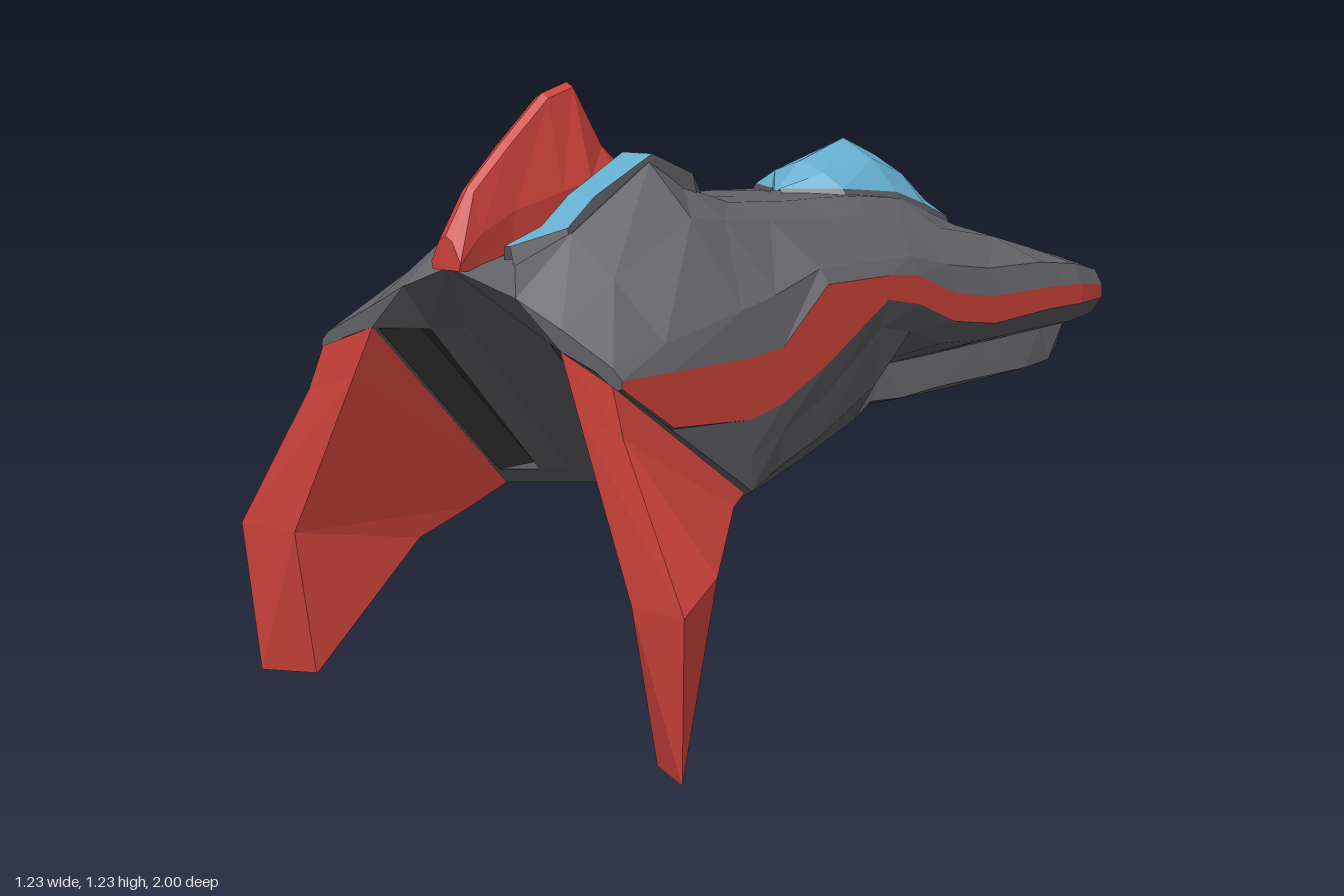
import * as THREE from 'three';

const COLORS = { red: 0xcc423a, grey: 0x626166, dark: 0x57565b, black: 0x2a2a2c, blue: 0x64acce };

// Skins a grid of points (rows of [x, y, z]); pick(i, j) gives each quad's colour name or null.
// One mesh per colour; the skin is mirrored to the -x side.
function skin(name, rows, pick) {
  const group = new THREE.Group();
  group.name = name;
  const buckets = {};
  for (let i = 0; i < rows.length - 1; i++) {
    for (let j = 0; j < rows[i].length - 1; j++) {
      const key = pick(i, j);
      if (!key) continue;
      const a = rows[i][j], b = rows[i][j + 1], c = rows[i + 1][j + 1], d = rows[i + 1][j];
      const out = (buckets[key] ??= []);
      for (const tri of [[a, d, c], [a, c, b]]) {
        out.push(...tri.flat());
        out.push(...[tri[0], tri[2], tri[1]].flatMap(([x, y, z]) => [-x, y, z]));
      }
    }
  }
  for (const key in buckets) {
    const geo = new THREE.BufferGeometry();
    geo.setAttribute('position', new THREE.Float32BufferAttribute(buckets[key], 3));
    geo.computeVertexNormals();
    const mesh = new THREE.Mesh(geo, new THREE.MeshStandardMaterial({
      color: COLORS[key], flatShading: true, side: THREE.DoubleSide }));
    mesh.name = `${name} ${key}`;
    group.add(mesh);
  }
  return group;
}

// Upper hull stations: z, half width, heights at centre, inner, mid, outer, stripe top, stripe bottom
const UPPER = [
  [-1, .02, .675, .675, .675, .67, .67, .66],
  [-.98, .09, .69, .685, .68, .68, .675, .66],
  [-.9, .21, .73, .725, .715, .70, .69, .665],
  [-.82, .32, .77, .765, .755, .73, .71, .68],
  [-.72, .39, .80, .80, .79, .765, .73, .70],
  [-.6, .41, .84, .835, .82, .79, .745, .70],
  [-.46, .41, .88, .875, .855, .805, .75, .70],
  [-.25, .41, .96, .95, .89, .81, .75, .69],
  [-.1, .41, .97, .965, .92, .83, .77, .71],
  [.03, .41, .97, .97, .94, .86, .82, .76],
  [.14, .41, .97, .97, .94, .86, .83, .78],
  [.34, .41, .97, .98, .95, .86, .83, .67],
  [.48, .41, .99, 1.02, .96, .82, .72, .61],
  [.58, .41, 1.0, 1.075, .97, .80, .71, .59],
  [.8, .41, .93, .95, .87, .76, .71, .605],
  [.94, .41, .89, .84, .79, .73, .71, .695],
];
// Lower hull: x (share of half width) and y for lip, trough, lower lip and keel edge
const LOWER = [
  [.95, .657, .9, .653, .8, .65, .4, .65],
  [.95, .65, .88, .64, .7, .625, .35, .615],
  [.92, .65, .8, .625, .65, .59, .33, .555],
  [.93, .655, .72, .63, .65, .56, .33, .515],
  [.93, .66, .58, .62, .64, .54, .33, .5],
  [.93, .655, .55, .61, .64, .535, .33, .495],
  [.93, .655, .55, .605, .64, .535, .33, .49],
  [.93, .65, .55, .6, .65, .535, .33, .49],
  [.93, .66, .56, .6, .67, .53, .33, .495],
  [.95, .70, .62, .61, .7, .54, .36, .505],
  [.97, .72, .93, .6, .8, .52, .45, .49],
  [.98, .6, .96, .52, .85, .47, .55, .45],
  [1, .55, .98, .48, .85, .43, .6, .41],
  [1.02, .52, 1.02, .45, .85, .41, .634, .38],
  [1, .602, 1, .6, .85, .603, .634, .606],
  [1, .692, 1, .69, .85, .72, .634, .75],
];

function hull() {
  const rows = UPPER.map(([z, w, yc, y1, y2, y3, st, sb], i) => {
    const l = LOWER[i];
    const ring = [[0, yc], [Math.min(.155, w * .5), y1], [Math.min(.265, w * .8), y2],
      [w * .96, y3], [w * 1.012, st], [w * 1.012, sb]];
    for (let k = 0; k < 8; k += 2) ring.push([w * l[k], l[k + 1]]);
    ring.push([0, l[7]]);
    return ring.map(([x, y]) => [x, y, z]);
  });
  // The keel is notched forward at the tail, the roof edge sweeps back at the centre
  rows[12][10] = [0, .41, .45];
  rows[13][10] = [0, .4, .49];
  const last = rows[rows.length - 1];
  last[0][2] = .975;
  last[1][2] = .95;
  const group = skin('hull', rows, (i, j) => {
    if (j === 9 && i >= 13) return null; // opening filled by the engine panel
    if (j === 4 || (j < 2 && i < 6) || (j < 4 && i < 3)) return 'red';
    return j < 4 ? 'grey' : 'dark';
  });
  // Tail rim under the rear edge of the roof
  const top = [last[0], ...last.slice(0, 6)];
  const under = [[0, .75, .83], [.1, .75, .83], [.165, .75, .875], [.26, .75, .94], [.35, .72, .94], [.4, .69, .94], last[5]];
  group.add(skin('tail rim', [top, under], (i, j) => (j < 2 ? 'dark' : 'grey')));
  return group;
}

// Slanted tail panel, sunken towards the centre, with two deep exhaust slots
function enginePanel() {
  const xs = [0, .1, .165, .17, .25, .252, .26];
  const ts = [0, .01, .012, .91, .912, 1];
  const rows = ts.map((t, i) => xs.map((x, j) => {
    const slot = (j === 3 || j === 4) && (i === 2 || i === 3);
    const topZ = .83 + .11 * Math.max(0, (x - .1) / .16);
    const bottomZ = .49 + .09 * x / .26;
    const bottomY = .4 - .02 * x / .26;
    return [x, .75 + (bottomY - .75) * t, topZ + (bottomZ - topZ) * t - (slot ? .1 : 0)];
  }));
  return skin('engine panel', rows, (i, j) => (i === 2 && j >= 2 && j <= 4 ? 'black' : 'dark'));
}

// Swept-down wing legs: four-cornered rings from root to a knife-edge tip
function wings() {
  const rings = [ // rear outer, front outer, front inner, rear inner
    [[.40, .70, .95], [.415, .45, .6], [.26, .38, .58], [.26, .75, .94]],
    [[.435, .61, .96], [.44, .435, .66], [.31, .33, .64], [.31, .645, .95]],
    [[.615, .315, 1], [.58, .36, .87], [.37, .27, .73], [.47, .31, .98]],
    [[.59, 0, .98], [.59, 0, .98], [.48, 0, .92], [.48, 0, .925]],
  ].map((r) => [...r, r[0]]);
  return skin('wing', rings, () => 'red');
}

// Faceted cockpit canopy with a dark rim
function canopy() {
  const data = [ // z, half width, base y, top y
    [-.55, .01, .85, .86], [-.46, .13, .885, .95], [-.36, .14, .92, 1.035],
    [-.24, .15, .955, 1.08], [-.08, .125, .97, 1.035], [0, .01, .97, .975]];
  const rows = data.map(([z, w, b, t]) =>
    [[0, t, z], [w * .55, b + (t - b) * .65, z], [w, b + .01, z], [w + .02, b - .02, z]]);
  return skin('canopy', rows, (i, j) => (j === 2 ? 'dark' : 'blue'));
}

// Tail fin with a thick waist, closed at the rear
function fin() {
  const data = [ // z, half width, base y, waist y, top y
    [.24, 0, .96, .965, .97], [.36, .03, .96, .985, 1], [.48, .05, .96, 1, 1.04],
    [.57, .06, .96, 1.03, 1.11], [.65, .065, .95, 1.04, 1.23], [.72, .055, .93, 1.02, 1.21],
    [.83, .035, .89, .99, 1.12], [.92, .033, .88, .95, 1.04],
    [.98, .04, .885, .9, .95], [.98, 0, .885, .9, .95]];
  const rows = data.map(([z, w, b, m, t]) =>
    [[0, t, z], [Math.min(.018, w * .5), t - .01, z], [w, m, z], [w * .9, b, z]]);
  return skin('tail fin', rows, () => 'red');
}

// Blue windows on the shoulders beside the fin, with dark skirts
function shoulderWindows() {
  const data = [ // z, inner x, outer x, y
    [.27, 0, .02, .985], [.45, .06, .155, 1.045], [.56, .065, .145, 1.09],
    [.72, .07, .14, 1.015], [.8, .075, .145, .96], [.87, .045, .06, .925]];
  const rows = data.map(([z, xi, xo, y]) =>
    [[xi, y - .08, z], [xi, y, z], [xo, y, z], [xo + .012, y - .05, z]]);
  return skin('shoulder window', rows, (i, j) => (j === 1 ? 'blue' : 'dark'));
}

export function createModel() {
  const model = new THREE.Group();
  model.name = 'spacecraft';
  model.add(hull(), enginePanel(), wings(), canopy(), fin(), shoulderWindows());
  return model;
}
